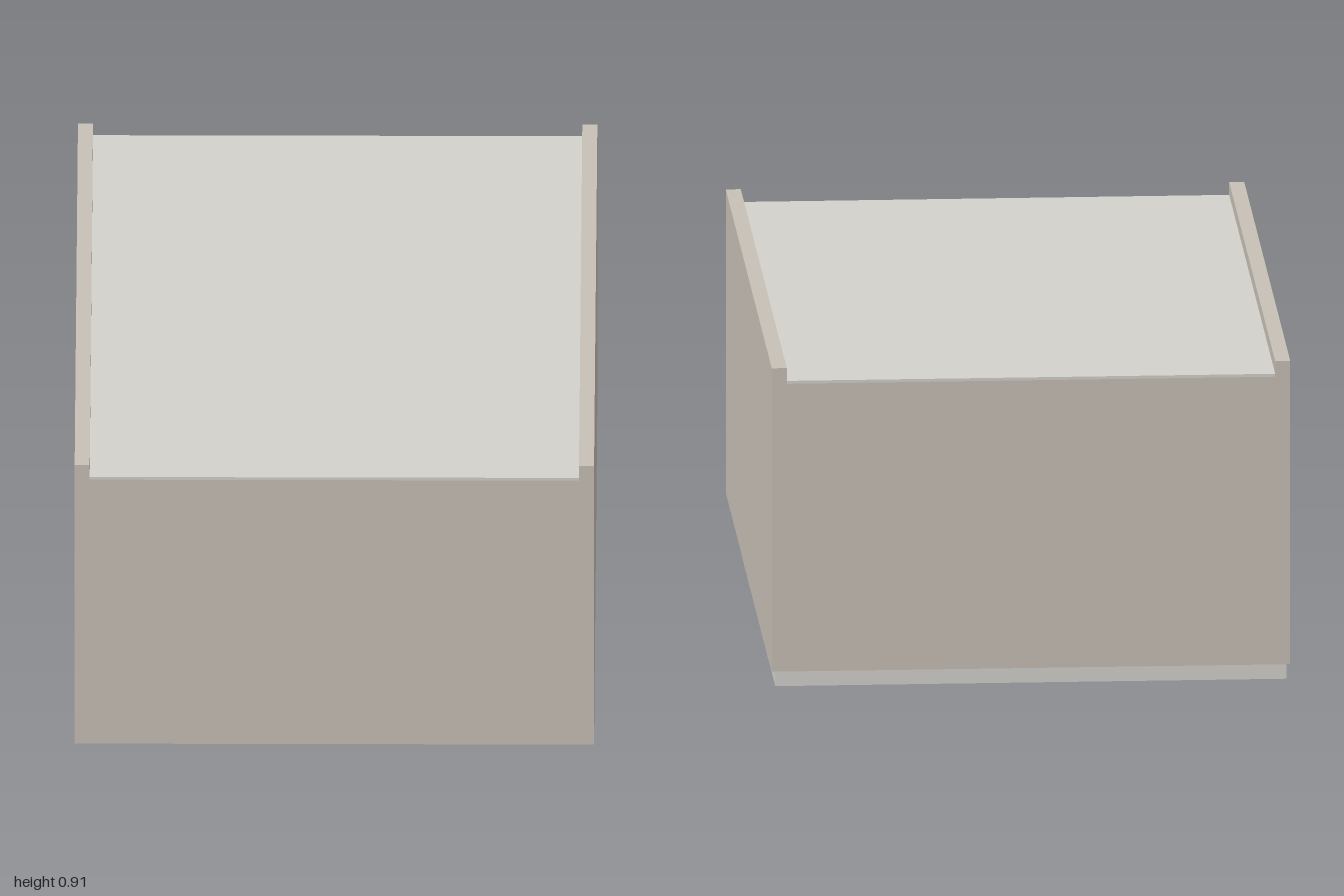
import * as THREE from 'three';

const paint = (color) => new THREE.MeshStandardMaterial({ color });

export function createModel() {
  const group = new THREE.Group();
  const shellPaint = paint(0xc8c0b6);
  const panelPaint = paint(0xd3d2cc);
  const handlePaint = paint(0x838388);

  // Adds a box spanning the given ranges on each axis
  const addBox = (name, material, [x0, x1], [y0, y1], [z0, z1]) => {
    const mesh = new THREE.Mesh(new THREE.BoxGeometry(x1 - x0, y1 - y0, z1 - z0), material);
    mesh.position.set((x0 + x1) / 2, (y0 + y1) / 2, (z0 + z1) / 2);
    mesh.name = name;
    group.add(mesh);
  };

  const halfWidth = 0.69, inner = 0.65, bottom = 0.08, wallTop = 0.867, wall = 0.04;

  // Side walls rise above the top as rails
  addBox('leftWall', shellPaint, [inner, halfWidth], [bottom, 0.91], [-1, 1]);
  addBox('rightWall', shellPaint, [-halfWidth, -inner], [bottom, 0.91], [-1, 1]);

  // End walls fit between the sides
  addBox('frontWall', shellPaint, [-inner, inner], [bottom, wallTop], [1 - wall, 1]);
  addBox('backWall', shellPaint, [-inner, inner], [bottom, wallTop], [-1, -1 + wall]);

  // Closed top; the underside stays open in front of the sliding panel
  addBox('ceiling', shellPaint, [-inner, inner], [wallTop - 0.03, wallTop], [-1 + wall, 1 - wall]);
  addBox('topPanel', panelPaint, [-inner, inner], [wallTop, 0.875], [-1, 1]);

  // Sliding bottom panel and its pull
  addBox('slidingPanel', panelPaint, [-0.68, 0.68], [0.038, bottom], [-0.99, 0.43]);
  addBox('handle', handlePaint, [-0.132, 0.132], [0, 0.038], [0.214, 0.245]);

  return group;
}
